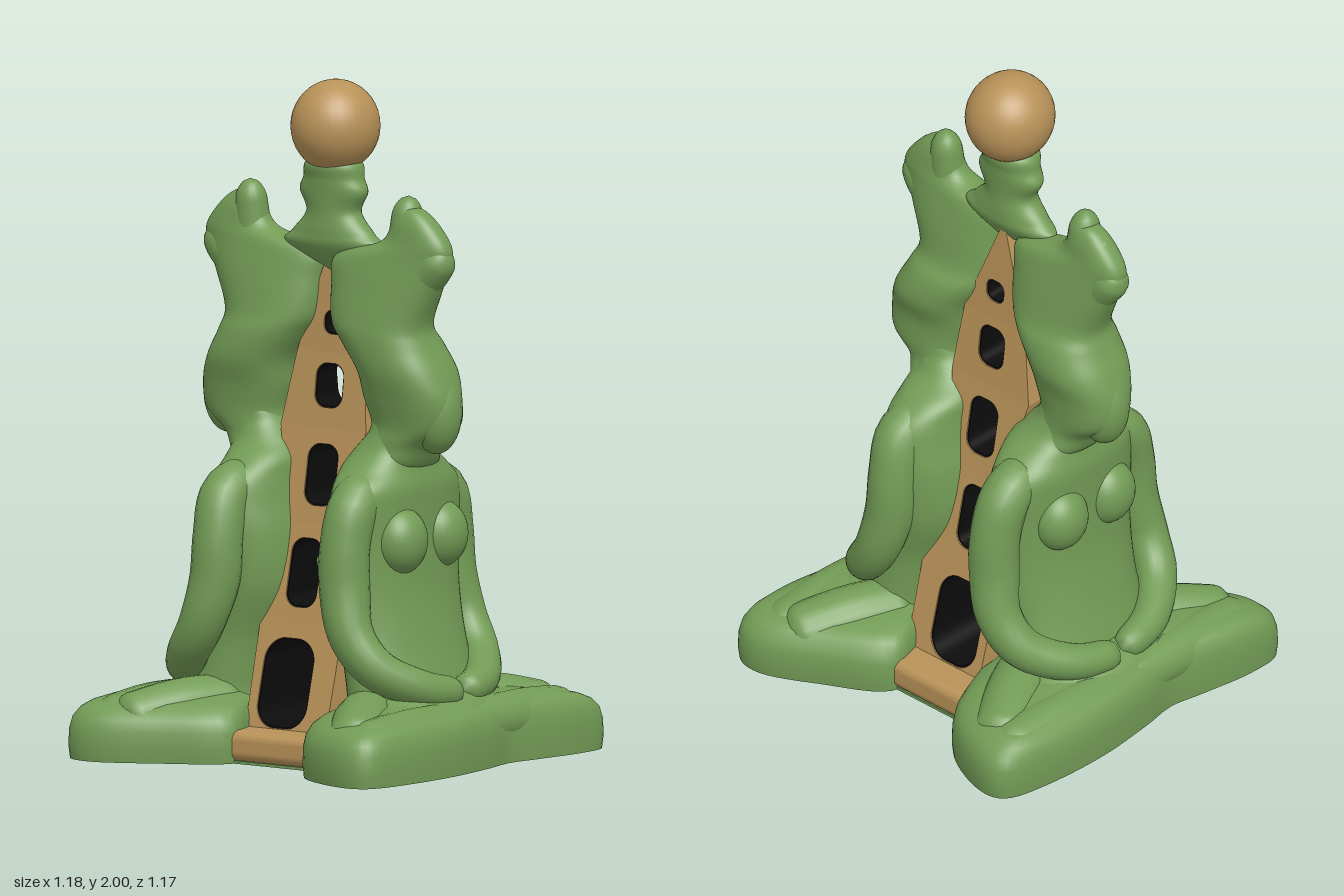
import * as THREE from 'three';
import { mergeVertices, toCreasedNormals } from 'three/addons/utils/BufferGeometryUtils.js';
import { ParametricGeometry } from 'three/addons/geometries/ParametricGeometry.js';
import { RoundedBoxGeometry } from 'three/addons/geometries/RoundedBoxGeometry.js';

const material = (name, color) => Object.assign(new THREE.MeshStandardMaterial({ color }), { name });
const V = (x, y, z = 0) => new THREE.Vector3(x, y, z);
const spline = (pts, closed = false) => new THREE.CatmullRomCurve3(pts, closed, 'catmullrom', 0.5);

// Weld seams and poles so the clay surface shades smoothly
function smooth(g) {
  g.deleteAttribute('uv');
  g.deleteAttribute('normal');
  const welded = mergeVertices(g, 1e-4);
  welded.computeVertexNormals();
  return welded;
}

function add(parent, name, geometry, mat) {
  const mesh = new THREE.Mesh(geometry, mat);
  mesh.name = name;
  parent.add(mesh);
}

// Upright form from sections [y, centreX, centreZ, radiusX, radiusZ]; power < 1 is boxier
function stack(sections, power = 1) {
  const centre = spline(sections.map(([y, x, z]) => V(x, y, z)));
  const radius = spline(sections.map((s) => V(s[3], s[4])));
  const bend = (a) => Math.sign(a) * Math.abs(a) ** power;
  return smooth(new ParametricGeometry((u, v, p) => {
    const c = centre.getPoint(v), r = radius.getPoint(v), a = u * Math.PI * 2;
    p.set(c.x + Math.max(0, r.x) * bend(Math.cos(a)), c.y, c.z - Math.max(0, r.y) * bend(Math.sin(a)));
  }, 48, sections.length * 6));
}

// Round-ended limb through points [x, y, z, radius]; side mirrors it
function limb(points, side = 1, cap = 0.15) {
  const path = spline(points.map(([x, y, z]) => V(x * side, y, z)));
  const radii = spline(points.map((p) => V(p[3], 0)));
  const rows = 36, around = 20;
  const g = new THREE.TubeGeometry(path, rows, 1, around);
  const pos = g.attributes.position, p = V(0, 0);
  for (let i = 0; i <= rows; i++) {
    const u = i / rows, c = path.getPointAt(u);
    const e = Math.min(1, Math.min(u, 1 - u) / cap);
    const r = radii.getPoint(path.getUtoTmapping(u)).x * Math.sqrt(1 - (1 - e) ** 2);
    for (let j = 0; j <= around; j++) {
      const k = i * (around + 1) + j;
      p.fromBufferAttribute(pos, k).sub(c).multiplyScalar(r).add(c);
      pos.setXYZ(k, p.x, p.y, p.z);
    }
  }
  return smooth(g);
}

function ellipsoid(x, y, z, rx, ry, rz) {
  return new THREE.SphereGeometry(1, 32, 20).scale(rx, ry, rz).translate(x, y, z);
}

// Flat-bottomed cushion of crossed legs, domed on top
function legBase() {
  const outline = spline([
    [-0.35, 0.16], [-0.5, 0.25], [-0.585, 0.42], [-0.57, 0.53], [-0.42, 0.57], [-0.2, 0.58], [0, 0.56],
    [0.13, 0.54], [0.25, 0.56], [0.42, 0.585], [0.55, 0.57], [0.58, 0.46], [0.5, 0.29], [0.38, 0.11],
    [0.2, 0.13], [-0.2, 0.13],
  ].map(([x, z]) => V(x, 0, z)), true);
  const layers = [[0, 0], [0, 0.99], [0.04, 1], [0.09, 0.995], [0.125, 0.975], [0.15, 0.93], [0.167, 0.86], [0.18, 0.74], [0.195, 0.55], [0.205, 0.3], [0.208, 0]];
  const g = new ParametricGeometry((u, v, p) => {
    const [y, s] = layers[Math.round(v * (layers.length - 1))];
    const o = outline.getPoint(u % 1);
    p.set(o.x * s, y, 0.35 + (o.z - 0.35) * s);
  }, 96, layers.length - 1);
  return toCreasedNormals(smooth(g), 0.9);
}

// Seated figure facing +z; lean shifts head and crown sideways, reach widens the arms
function figure(name, lean, reach, clay) {
  const f = new THREE.Group();
  f.name = name;
  add(f, 'legBase', legBase(), clay);
  add(f, 'lap', ellipsoid(0, 0.14, 0.37, 0.33, 0.1, 0.15), clay);
  add(f, 'torso', stack([
    [0.08, 0, 0.29, 0, 0], [0.09, 0, 0.29, 0.26, 0.14], [0.2, 0, 0.28, 0.25, 0.14], [0.35, 0, 0.245, 0.24, 0.135],
    [0.5, 0, 0.205, 0.255, 0.145], [0.65, 0, 0.2, 0.265, 0.14], [0.75, 0, 0.21, 0.265, 0.13],
    [0.82, 0, 0.215, 0.25, 0.125], [0.875, 0, 0.21, 0.19, 0.12], [0.92, lean / 4, 0.22, 0.13, 0.105],
    [0.97, lean / 3, 0.24, 0.1, 0.08], [1.02, lean / 3, 0.24, 0.08, 0.05], [1.03, lean / 3, 0.24, 0, 0],
  ], 0.9), clay);
  for (const side of [1, -1]) {
    const label = side > 0 ? 'left' : 'right';
    add(f, label + 'Thigh', limb([[0.15, 0.145, 0.24, 0.09], [0.32, 0.135, 0.33, 0.095], [0.5, 0.1, 0.43, 0.085]], side), clay);
    add(f, label + 'Shin', limb([[0.53, 0.1, 0.46, 0.08], [0.27, 0.12, 0.47, 0.08], [-0.05, 0.12, 0.465, 0.07]], side), clay);
    add(f, label + 'Arm', limb([
      [0.12, 0.825, 0.215, 0.065], [0.225, 0.775, 0.225, 0.075], [0.265, 0.66, 0.22, 0.075], [0.275, 0.53, 0.225, 0.075], [0.29, 0.4, 0.26, 0.068],
      [0.26, 0.3, 0.335, 0.062], [0.15, 0.24, 0.42, 0.055], [0, 0.215, 0.455, 0.045],
    ].map(([x, y, z, r]) => [x * reach, y, z, r]), side, 0.06), clay);
    add(f, label + 'Breast', ellipsoid(0.1 * side, 0.665, 0.305, 0.09, 0.1, 0.08), clay);
  }

  // Long head merging into a flared crown
  add(f, 'head', stack([
    [0.86, 0, 0.21, 0, 0], [0.87, 0, 0.22, 0.12, 0.1], [0.94, lean / 3, 0.26, 0.105, 0.11], [1, lean / 3, 0.305, 0.105, 0.135],
    [1.08, lean / 2, 0.3, 0.115, 0.15], [1.16, lean / 2, 0.28, 0.135, 0.145], [1.24, lean * 0.7, 0.235, 0.13, 0.15],
    [1.3, lean, 0.21, 0.11, 0.16], [1.4, lean, 0.225, 0.09, 0.185], [1.49, lean, 0.25, 0.07, 0.2],
    [1.54, lean, 0.33, 0.058, 0.12], [1.6, lean, 0.33, 0.048, 0.075], [1.64, lean, 0.315, 0.03, 0.04], [1.65, lean, 0.31, 0, 0],
  ], 0.85), clay);
  add(f, 'face', ellipsoid(lean / 2, 1.04, 0.385, 0.075, 0.12, 0.075), clay);
  const crownTips = [[1.68, 0.298, 0.043], [1.625, 0.375, 0.04], [1.53, 0.445, 0.042]];
  crownTips.forEach(([y, z, r], i) => add(f, 'crownTip' + (i + 1), limb([
    [lean, 1.36, 0.28, 0.06], [lean, 1.47, 0.29 + (z - 0.3) * 0.7, 0.058], [lean - 0.01 * (i - 1), y, z, r],
  ], 1, 0.2), clay));
  return f;
}

// Tower tiers, bottom to top: [y, half width, front edge, back edge]
const tiers = [
  [0.02, 0.285, 0.14, 0.15], [0.4, 0.185, 0.145, 0.155], [0.69, 0.12, 0.1, 0.1],
  [0.97, 0.07, 0.145, 0.165], [1.19, 0.042, 0.12, 0.125], [1.5, 0.02, -0.005, 0.025],
];

// Rounded rectangle centred on (x, y)
function roundRect(Type, x, y, w, h) {
  const s = new Type(), r = Math.min(w, h) * 0.38, a = x - w / 2, b = y - h / 2;
  const corners = [[a + w - r, b + r, -0.5], [a + w - r, b + h - r, 0], [a + r, b + h - r, 0.5], [a + r, b + r, 1]];
  for (const [cx, cy, q] of corners) s.absarc(cx, cy, r, q * Math.PI, (q + 0.5) * Math.PI, false);
  s.closePath();
  return s;
}

// Extrude a side profile across x, narrowing from the low tier edge to the high one
function tapered(shape, low, high, shrink) {
  const g = new THREE.ExtrudeGeometry(shape, { depth: 2, bevelEnabled: false, curveSegments: 8 });
  g.translate(0, 0, -1).rotateY(Math.PI / 2);
  const pos = g.attributes.position;
  for (let i = 0; i < pos.count; i++) {
    const t = (pos.getY(i) - low[0]) / (high[0] - low[0]);
    pos.setX(i, pos.getX(i) * (low[1] + (high[1] - low[1]) * t - shrink));
  }
  g.computeVertexNormals();
  return g;
}

export function createModel() {
  const clay = material('green', 0x729b55);
  const tan = material('tan', 0xb89258);
  const dark = material('black', 0x0c0c0c);
  const model = new THREE.Group();
  model.name = 'backToBackStatue';

  model.add(figure('frontFigure', -0.055, 0.96, clay));
  const back = figure('backFigure', 0.01, 1.07, clay);
  back.rotation.y = Math.PI;
  model.add(back);

  // Pierced tower between the backs, one dark-lined opening per tier
  const tower = new THREE.Group();
  tower.name = 'tower';
  model.add(tower);
  const openings = [[0.015, 0.23, 0.18, 0.26], [0.005, 0.55, 0.11, 0.2], [-0.015, 0.835, 0.11, 0.18], [-0.015, 1.095, 0.1, 0.13], [-0.018, 1.28, 0.07, 0.07]];
  openings.forEach(([x, y, w, h], i) => {
    const low = tiers[i], high = tiers[i + 1];
    const wall = new THREE.Shape([[low[3], low[0]], [high[3], high[0]], [-high[2], high[0]], [-low[2], low[0]]].map(([a, b]) => new THREE.Vector2(a - 0.015, b)));
    wall.holes.push(roundRect(THREE.Path, x, y, w, h));
    const lining = roundRect(THREE.Shape, x, y, w, h);
    lining.holes.push(roundRect(THREE.Path, x, y, w - 0.008, h - 0.008));
    add(tower, 'towerTier' + (i + 1), tapered(wall, low, high, 0), tan);
    add(tower, 'openingLining' + (i + 1), tapered(lining, low, high, 0.004), dark);
  });
  add(tower, 'towerFoot', new RoundedBoxGeometry(0.74, 0.092, 0.42, 4, 0.03).translate(0, 0.052, 0), tan);
  add(model, 'sole', new THREE.BoxGeometry(0.72, 0.009, 0.4).translate(0, 0.0045, 0), clay);

  // Neck post and ball on top
  add(model, 'post', stack([
    [1.43, -0.03, 0.015, 0, 0], [1.45, -0.03, 0.015, 0.025, 0.04], [1.51, -0.03, 0.015, 0.06, 0.17], [1.55, -0.03, 0.015, 0.065, 0.14],
    [1.61, -0.03, 0.015, 0.062, 0.09], [1.67, -0.03, 0.015, 0.065, 0.115], [1.71, -0.03, 0.015, 0.068, 0.1], [1.76, -0.03, 0.015, 0.07, 0.085], [1.8, -0.03, 0.015, 0, 0],
  ]), clay);
  add(model, 'ball', ellipsoid(-0.03, 1.863, 0.02, 0.137, 0.137, 0.13), tan);
  return model;
}
